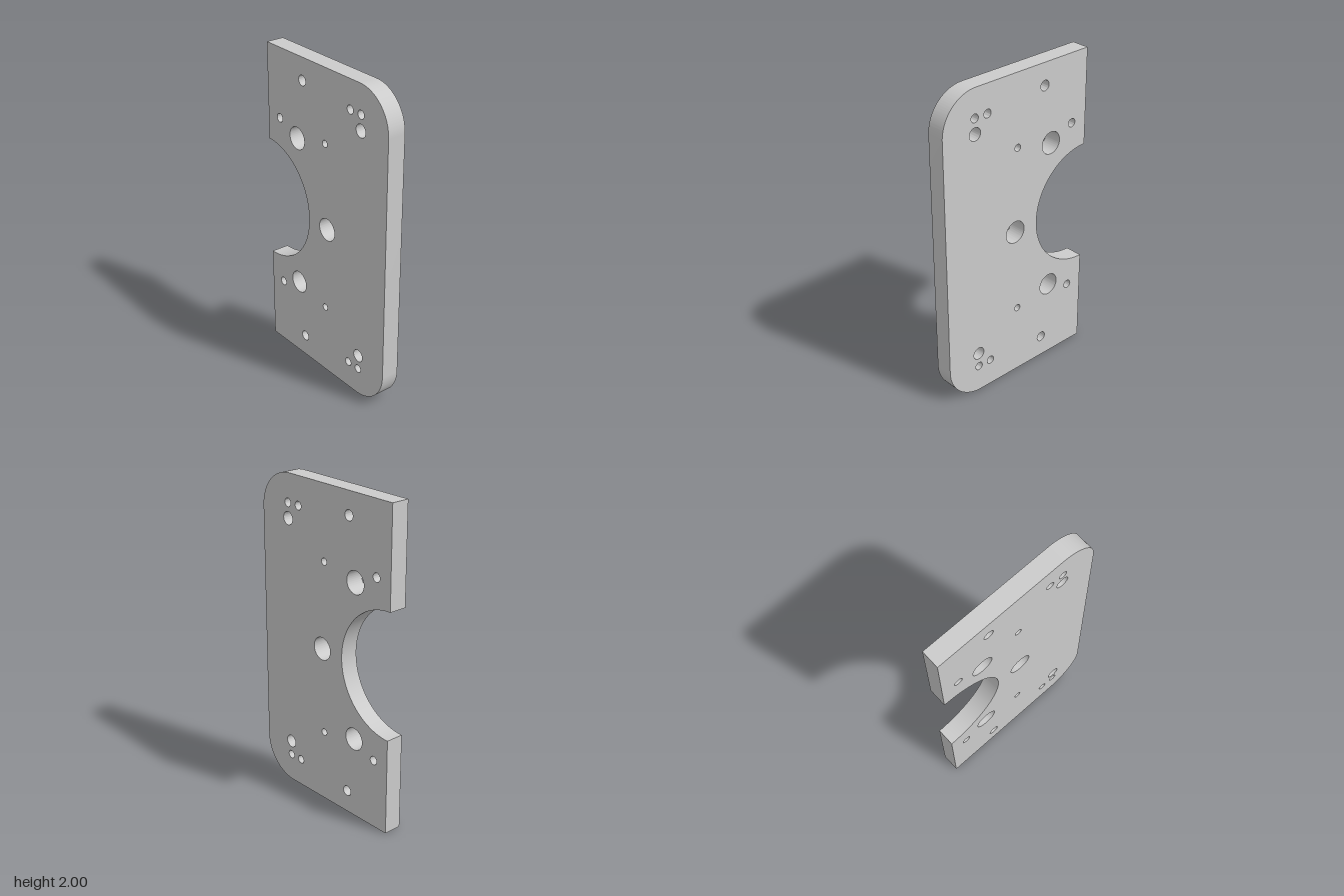
import * as THREE from 'three';
import { toCreasedNormals } from 'three/addons/utils/BufferGeometryUtils.js';

const HALF_WIDTH = 0.543, HEIGHT = 2, THICKNESS = 0.114;
const CORNER = 0.24, NOTCH = 0.39;

// Holes of the upper half as [x, height above the middle, radius]
const PAIRED_HOLES = [
  [-0.207, 0.86, 0.032],
  [-0.431, 0.561, 0.027],
  [-0.263, 0.487, 0.07],
  [0, 0.543, 0.022],
  [0.224, 0.823, 0.026],
  [0.316, 0.823, 0.026],
  [0.316, 0.729, 0.04],
];

function addHole(shape, x, y, radius) {
  const hole = new THREE.Path();
  hole.absarc(x, y, radius, 0, Math.PI * 2, true);
  shape.holes.push(hole);
}

export function createModel() {
  const group = new THREE.Group();
  group.name = 'mountingPlate';
  const mid = HEIGHT / 2, w = HALF_WIDTH;

  // Outline: two rounded corners on one side, half-round notch on the other
  const outline = new THREE.Shape();
  outline.moveTo(-w, 0);
  outline.lineTo(w - CORNER, 0);
  outline.absarc(w - CORNER, CORNER, CORNER, -Math.PI / 2, 0, false);
  outline.lineTo(w, HEIGHT - CORNER);
  outline.absarc(w - CORNER, HEIGHT - CORNER, CORNER, 0, Math.PI / 2, false);
  outline.lineTo(-w, HEIGHT);
  outline.lineTo(-w, mid + NOTCH);
  outline.absarc(-w, mid, NOTCH, Math.PI / 2, -Math.PI / 2, true);
  outline.closePath();

  // Through holes, mirrored about the middle height
  addHole(outline, 0.018, mid, 0.071);
  for (const [x, dy, r] of PAIRED_HOLES) {
    for (const side of [1, -1]) addHole(outline, x, mid + side * dy, r);
  }

  const extruded = new THREE.ExtrudeGeometry(outline, {
    depth: THICKNESS, bevelEnabled: false, curveSegments: 40,
  });
  extruded.translate(0, 0, -THICKNESS / 2);

  const plate = new THREE.Mesh(
    toCreasedNormals(extruded, Math.PI / 6),
    new THREE.MeshStandardMaterial({ color: 0xcccccc })
  );
  plate.name = 'plate';
  group.add(plate);
  return group;
}
